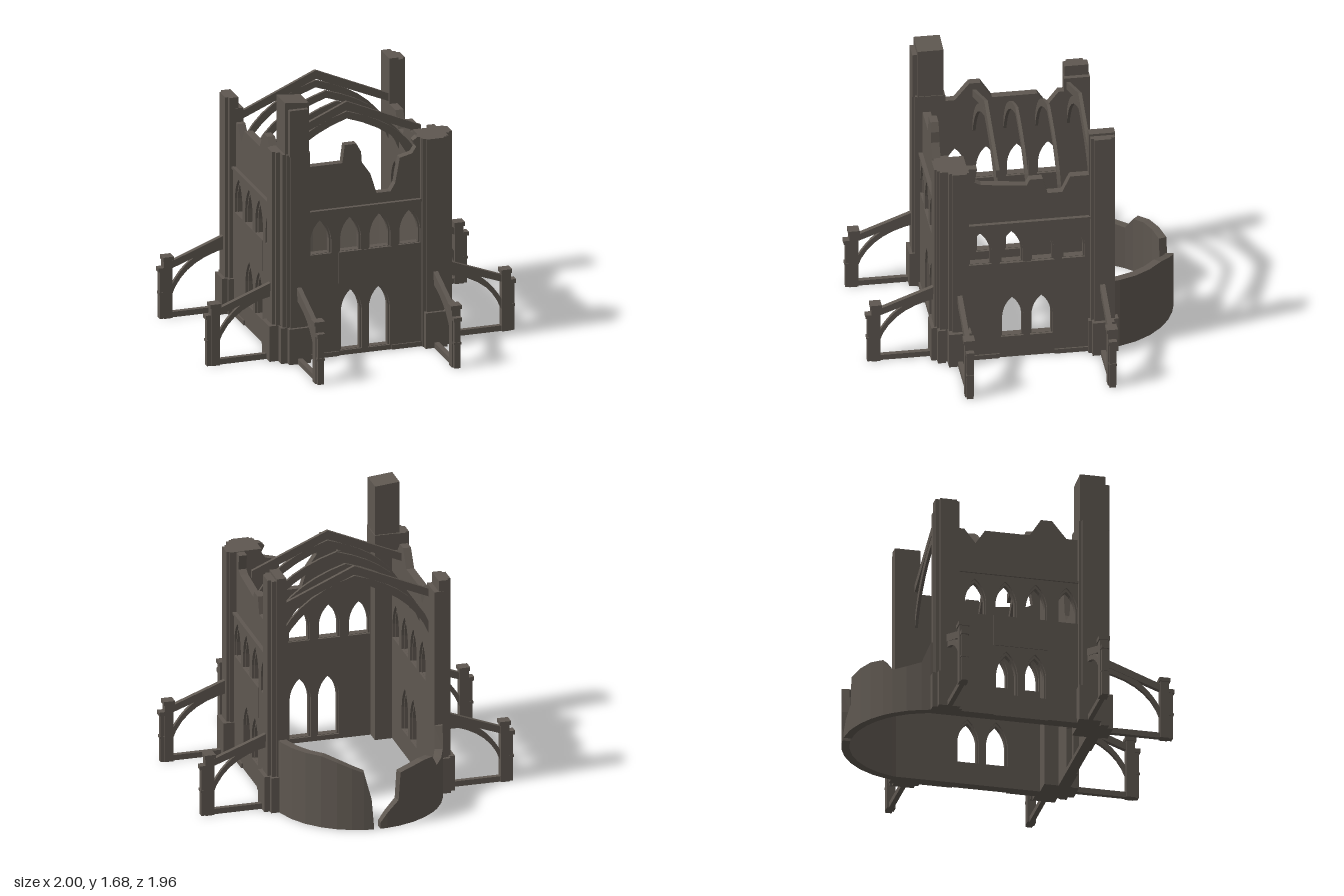
import * as THREE from 'three';

const stone = new THREE.MeshStandardMaterial({ color: 0x5e5750 });
stone.name = 'weatheredStone';

function add(parent, geo, name, x = 0, y = 0, z = 0) {
  const m = new THREE.Mesh(geo, stone);
  m.name = name;
  m.position.set(x, y, z);
  parent.add(m);
  return m;
}

// Box given by its limits
function block(parent, name, x0, x1, y0, y1, z0, z1) {
  return add(parent, new THREE.BoxGeometry(x1 - x0, y1 - y0, Math.abs(z1 - z0)), name,
    (x0 + x1) / 2, (y0 + y1) / 2, (z0 + z1) / 2);
}

const polygon = pts => new THREE.Shape(pts.map(p => new THREE.Vector2(p[0], p[1])));
const extrude = (shape, depth) =>
  new THREE.ExtrudeGeometry(shape, { depth, bevelEnabled: false, curveSegments: 7 });

// Pointed arch outline
function lancet(path, cx, hw, y0, spring, top) {
  const c = spring + (top - spring) * 0.62;
  path.moveTo(cx - hw, y0);
  path.lineTo(cx + hw, y0);
  path.lineTo(cx + hw, spring);
  path.quadraticCurveTo(cx + hw * 0.88, c, cx, top);
  path.quadraticCurveTo(cx - hw * 0.88, c, cx - hw, spring);
  path.lineTo(cx - hw, y0);
  return path;
}

// Wall facing local +z: thick arcaded storey, thinner broken parapet, mouldings
function wall(name, half, top, doorBase) {
  const g = new THREE.Group();
  g.name = name;
  const [a, b] = half;
  const lower = polygon([[a, 0], [b, 0], [b, 0.95], [a, 0.95]]);
  const openings = [-0.287, -0.095, 0.095, 0.287].map(x => [x, 0.67, 0.76, 0.905]);
  openings.push([-0.09, doorBase, 0.29, 0.435], [0.09, doorBase, 0.29, 0.435]);
  for (const [x, y0, spring, t] of openings) {
    lower.holes.push(lancet(new THREE.Path(), x, 0.07, y0, spring, t));
    const ring = lancet(new THREE.Shape(), x, 0.07, y0, spring, t);
    ring.holes.push(lancet(new THREE.Path(), x, 0.06, y0 + 0.002, spring, t - 0.02));
    add(g, extrude(ring, 0.035), 'archFrame', 0, 0, 0.015);
  }
  add(g, extrude(lower, 0.065), 'arcadeWall');
  add(g, extrude(polygon([[a, 0.95], [b, 0.95], ...top]), 0.05), 'brokenParapet');
  block(g, 'stringCourse', a, b, 0.94, 0.955, 0.03, 0.075);
  for (const s of [-1, 1]) {
    const inner = s < 0 ? -0.17 : 0.17;
    block(g, 'plinth', s < 0 ? a : inner, s < 0 ? inner : b, 0, 0.03, 0.03, 0.075);
  }
  block(g, 'spandrelPanel', -0.17, 0.17, 0.47, 0.67, 0.06, 0.07);
  return g;
}

// Flying buttress reaching outward along local +x
function buttress() {
  const g = new THREE.Group();
  g.name = 'flyingButtress';
  block(g, 'groundBeam', 0.52, 0.92, 0, 0.035, -0.015, 0.015);
  block(g, 'pier', 0.91, 0.965, 0, 0.38, -0.027, 0.027);
  block(g, 'pierCap', 0.903, 0.972, 0.375, 0.4, -0.034, 0.034);
  block(g, 'pierOffset', 0.96, 0.99, 0, 0.31, -0.02, 0.02);
  block(g, 'offsetCap', 0.96, 1, 0.305, 0.33, -0.025, 0.025);
  block(g, 'offsetBand', 0.96, 0.995, 0.155, 0.17, -0.023, 0.023);
  const arm = polygon([[0.54, 0.505], [0.54, 0.455], [0.92, 0.315], [0.92, 0.36]]);
  add(g, extrude(arm, 0.03), 'slopingArm', 0, 0, -0.015);
  const arch = new THREE.Shape();
  arch.moveTo(0.915, 0.13);
  arch.lineTo(0.915, 0.2);
  arch.quadraticCurveTo(0.83, 0.36, 0.66, 0.43);
  arch.lineTo(0.54, 0.47);
  arch.lineTo(0.54, 0.41);
  arch.quadraticCurveTo(0.84, 0.36, 0.915, 0.13);
  add(g, extrude(arch, 0.022), 'archBrace', 0, 0, -0.011);
  return g;
}

// Roof rib spanning the nave, some with straight rafters above
function rib(z, rafters) {
  const g = new THREE.Group();
  g.name = 'roofRib';
  const s = new THREE.Shape();
  s.moveTo(-0.48, 0.99);
  s.quadraticCurveTo(-0.38, 1.28, 0, 1.4);
  s.quadraticCurveTo(0.38, 1.28, 0.48, 0.99);
  s.lineTo(0.48, 1.07);
  s.quadraticCurveTo(0.38, 1.335, 0, 1.445);
  s.quadraticCurveTo(-0.38, 1.335, -0.48, 1.07);
  add(g, extrude(s, 0.018), 'ribArch', 0, 0, z - 0.009);
  if (rafters) {
    const r = polygon([[-0.48, 1.25], [0, 1.455], [0.48, 1.25], [0.48, 1.3], [0, 1.51], [-0.48, 1.3]]);
    add(g, extrude(r, 0.022), 'rafters', 0, 0, z - 0.011);
  }
  return g;
}

// Curved apse wall from [angle in degrees, height] sections
function apse(sections) {
  const pos = [];
  const corners = sections.map(([deg, h]) => {
    const t = THREE.MathUtils.degToRad(deg), c = Math.cos(t), s = Math.sin(t);
    return [[0.48, 0], [0.53, 0], [0.53, h], [0.48, h]].map(([r, y]) => [r * c, y, -0.45 - r * s]);
  });
  const quad = (a, b, c, d) => pos.push(...a, ...b, ...c, ...a, ...c, ...d);
  for (let i = 0; i < corners.length - 1; i++) {
    const p = corners[i], q = corners[i + 1];
    for (let k = 0; k < 4; k++) quad(p[k], q[k], q[(k + 1) % 4], p[(k + 1) % 4]);
  }
  const f = corners[0], l = corners[corners.length - 1];
  quad(f[0], f[1], f[2], f[3]);
  quad(l[3], l[2], l[1], l[0]);
  const geo = new THREE.BufferGeometry();
  geo.setAttribute('position', new THREE.Float32BufferAttribute(pos, 3));
  geo.computeVertexNormals();
  return geo;
}

export function createModel() {
  const model = new THREE.Group();
  model.name = 'ruinedChapel';

  // Walls
  const front = wall('frontWall', [-0.4, 0.4], [
    [0.4, 1.35], [0.34, 1.35], [0.315, 1.33], [0.335, 1.29], [0.31, 1.25], [0.23, 1.23], [0.2, 1.07],
    [0.17, 1.02], [0.08, 1.02], [0.04, 1.15], [-0.015, 1.23], [-0.02, 1.3], [-0.05, 1.355],
    [-0.125, 1.355], [-0.14, 1.24], [-0.4, 1.24]], 0.03);
  front.position.z = 0.455;
  const left = wall('leftWall', [-0.45, 0.48], [
    [0.48, 1.24], [0.27, 1.24], [0.22, 1.135], [0.13, 1.135], [0.1, 1.24], [0.02, 1.24], [0, 1.2],
    [-0.28, 1.23], [-0.32, 1.25], [-0.305, 1.345], [-0.45, 1.35]], 0.145);
  left.rotation.y = Math.PI / 2;
  left.position.x = 0.47;
  const right = wall('rightWall', [-0.48, 0.45], [
    [0.45, 1.24], [0.29, 1.24], [0.2, 1.35], [0.13, 1.35], [0.06, 1.24], [-0.22, 1.24],
    [-0.28, 1.15], [-0.35, 1.24], [-0.48, 1.24]], 0.145);
  right.rotation.y = -Math.PI / 2;
  right.position.x = -0.47;
  model.add(front, left, right);

  for (const s of [1, -1]) {
    // Front corner towers with stepped pilasters
    const ft = new THREE.Group();
    ft.name = 'frontTower';
    const box = (n, x0, x1, y1, z0, z1) =>
      block(ft, n, s > 0 ? x0 : -x1, s > 0 ? x1 : -x0, 0, y1, z0, z1);
    box('core', 0.36, 0.535, 1.35, 0.365, 0.535);
    box('sidePilaster', 0.5, 0.56, 1.35, 0.36, 0.485);
    box('sideShaft', 0.5, 0.58, 1.35, 0.375, 0.465);
    box('frontPilaster', 0.365, 0.515, 1.35, 0.5, 0.55);
    box('frontShaft', 0.385, 0.495, 1.35, 0.5, 0.565);
    box('sideBase', 0.5, 0.605, 0.23, 0.35, 0.49);
    box('frontBase', 0.37, 0.51, 0.23, 0.5, 0.585);
    box('cornerBase', 0.5, 0.55, 0.23, 0.5, 0.55);
    model.add(ft);

    // Back corner towers
    const h = s > 0 ? 1.52 : 1.4;
    const bt = new THREE.Group();
    bt.name = 'backTower';
    const bbox = (n, x0, x1, y1, z0, z1) =>
      block(bt, n, s > 0 ? x0 : -x1, s > 0 ? x1 : -x0, 0, y1, z0, z1);
    bbox('core', 0.47, 0.53, s > 0 ? 1.535 : 1.33, -0.545, -0.385);
    bbox('pilaster', 0.5, 0.56, h, -0.54, -0.39);
    bbox('shaft', 0.52, 0.58, h, -0.515, -0.41);
    bbox('base', 0.48, 0.605, 0.23, -0.53, -0.395);
    bbox('baseReturn', 0.48, 0.57, 0.23, -0.56, -0.375);
    model.add(bt);

    // Flying buttresses
    for (const z of [0.42, -0.46]) {
      const side = buttress();
      side.rotation.y = s > 0 ? 0 : Math.PI;
      side.position.z = z;
      model.add(side);
    }
    const fb = buttress();
    fb.rotation.y = -Math.PI / 2;
    fb.position.set(s * 0.44, 0, -0.018);
    model.add(fb);
  }

  // Surviving tall turret with a sloping broken top
  const turret = polygon([[-0.52, 1.34], [-0.365, 1.34], [-0.365, 1.67], [-0.52, 1.685]]);
  add(model, extrude(turret, 0.16), 'tallTurret', 0, 0, 0.375);
  block(model, 'turretFace', -0.5, -0.38, 1.34, 1.64, 0.53, 0.565);

  // Roof ribs
  [[-0.41, true], [-0.215, false], [-0.02, false], [0.17, true]].forEach(r => model.add(rib(...r)));

  // Broken apse in two pieces
  add(model, apse([[4, 0.47], [14, 0.47], [26, 0.47], [38, 0.47], [50, 0.47], [61, 0.44], [71, 0.405],
    [79, 0.375], [84, 0.2], [85.7, 0.01]]), 'apseLeft');
  add(model, apse([[90, 0.04], [95, 0.1], [103, 0.17], [104.5, 0.35], [115, 0.37], [125, 0.38], [135, 0.37],
    [142, 0.29], [152, 0.3], [162, 0.32], [168, 0.45], [176, 0.47]]), 'apseRight');

  return model;
}
